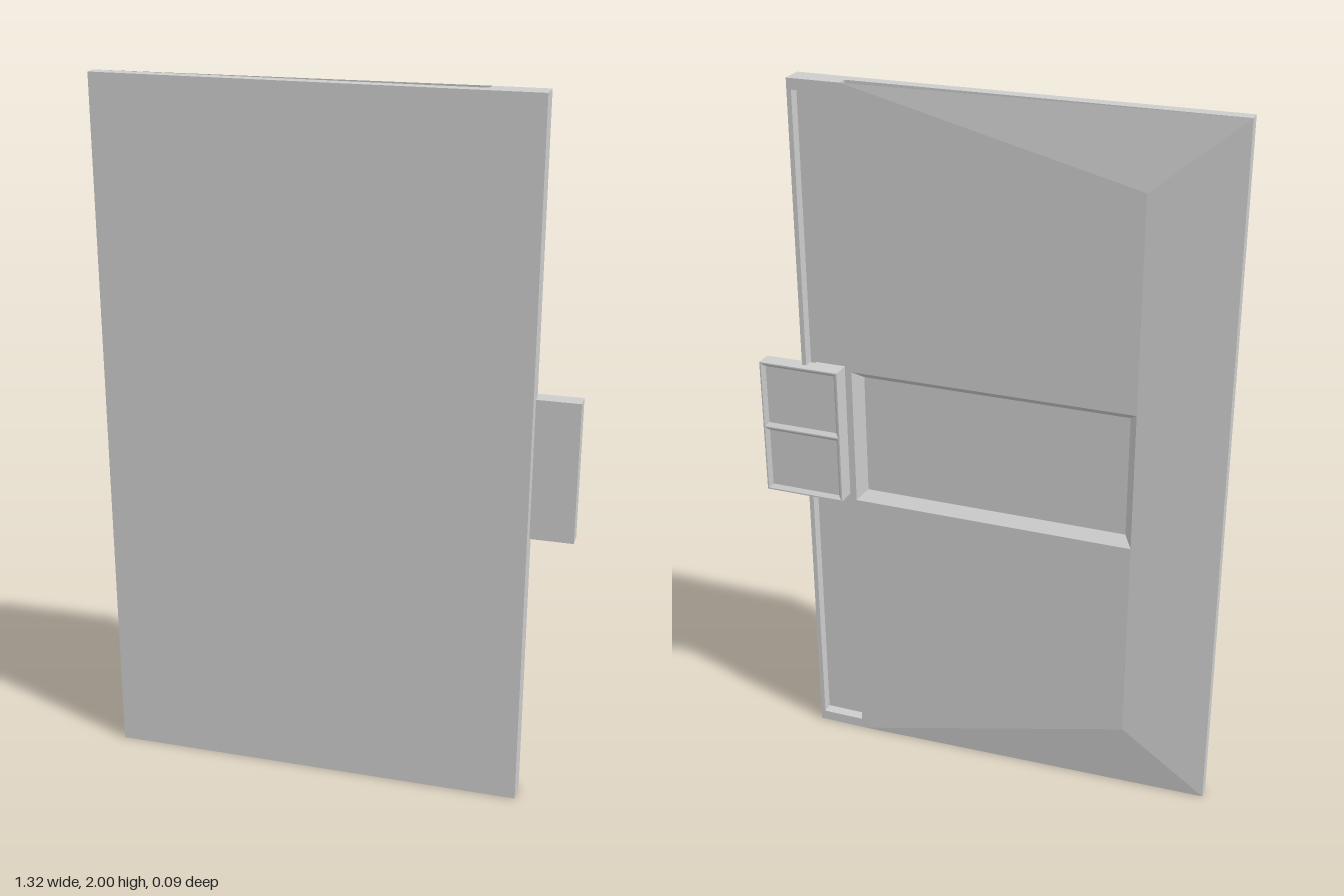
import * as THREE from 'three';

const grey = new THREE.MeshStandardMaterial({ color: 0xcccccc, side: THREE.DoubleSide });
grey.name = 'plain grey';

const X0 = -0.66, XR = -0.42, XS = 0.39, X1 = 0.54; // edge, ridge, strip, edge
const ZF = 0.045, ZM = 0.01, ZB = -0.021;           // front, slab back, raised back

function add(parent, name, geometry) {
  const mesh = new THREE.Mesh(geometry, grey);
  mesh.name = name;
  parent.add(mesh);
}

// Box given by its limits
function block(x0, x1, y0, y1, z0, z1) {
  return new THREE.BoxGeometry(x1 - x0, y1 - y0, z1 - z0)
    .translate((x0 + x1) / 2, (y0 + y1) / 2, (z0 + z1) / 2);
}

// Flat convex polygons, each a loop of [x, y, z] corners
function facets(polygons) {
  const pos = [];
  for (const p of polygons) {
    for (let i = 1; i < p.length - 1; i++) pos.push(...p[0], ...p[i], ...p[i + 1]);
  }
  const g = new THREE.BufferGeometry();
  g.setAttribute('position', new THREE.Float32BufferAttribute(pos, 3));
  g.computeVertexNormals();
  return g;
}

// Rectangle corners, counter-clockwise seen from behind
const rect = (x0, x1, y0, y1, z) => [[x1, y0, z], [x0, y0, z], [x0, y1, z], [x1, y1, z]];

// Sloping walls of a recess that narrows by `inset` from z0 to z1
function recessWalls([x0, x1, y0, y1], inset, z0, z1) {
  const a = rect(x0, x1, y0, y1, z0);
  const b = rect(x0 + inset, x1 - inset, y0 + inset, y1 - inset, z1);
  return facets(a.map((p, i) => [p, a[(i + 1) % 4], b[(i + 1) % 4], b[i]]));
}

// Rectangular plate with rectangular holes
function frame([x0, x1, y0, y1], holes, z0, z1) {
  const path = (s, c) => s.setFromPoints(c.map(p => new THREE.Vector2(p[0], p[1])));
  const shape = path(new THREE.Shape(), rect(x0, x1, y0, y1, 0));
  for (const h of holes) shape.holes.push(path(new THREE.Path(), rect(...h, 0)));
  return new THREE.ExtrudeGeometry(shape, { depth: z1 - z0, bevelEnabled: false }).translate(0, 0, z0);
}

export function createModel() {
  const group = new THREE.Group();
  group.name = 'slidingPanel';

  // Flat front slab; its back is also the floor of the slot and the recess
  add(group, 'frontSlab', block(X0, X1, 0, 2, ZM, ZF));

  // Edge strip with a long slot
  add(group, 'slottedStrip', frame([XS, X1, 0, 2], [[0.403, 0.527, 0.03, 1.97]], ZB, ZM));

  // Raised back with slopes to the outer edges, open at top and bottom
  add(group, 'raisedBack', facets([
    [[XS, 2, ZB], [XS, 1.2, ZB], [XR, 1.2, ZB], [XR, 1.8, ZB]],
    [[XS, 0.8, ZB], [XS, 0, ZB], [XR, 0.2, ZB], [XR, 0.8, ZB]],
    [[XR, 1.8, ZB], [XR, 0.2, ZB], [X0, 0, ZM], [X0, 2, ZM]],
    [[XS, 2, ZB], [XR, 1.8, ZB], [X0, 2, ZM]],
    [[XS, 0, ZB], [X0, 0, ZM], [XR, 0.2, ZB]],
  ]));
  add(group, 'backRecess', recessWalls([XR, XS, 0.8, 1.2], 0.024, ZB, ZM));

  // Slider block with two shallow recesses, and its stem in the slot
  const slider = new THREE.Group();
  slider.name = 'slider';
  group.add(slider);
  const wells = [[0.428, 0.656, 0.804, 0.998], [0.428, 0.656, 1.002, 1.196]];
  add(slider, 'sliderBody', block(0.424, 0.66, 0.8, 1.2, -0.035, 0.003));
  add(slider, 'sliderRim', frame([0.424, 0.66, 0.8, 1.2], wells, -0.045, -0.035));
  for (const w of wells) add(slider, 'sliderRecess', recessWalls(w, 0.01, -0.045, -0.035));
  add(slider, 'sliderStem', block(0.424, 0.51, 0.8, 1.2, 0.003, ZM));

  return group;
}
